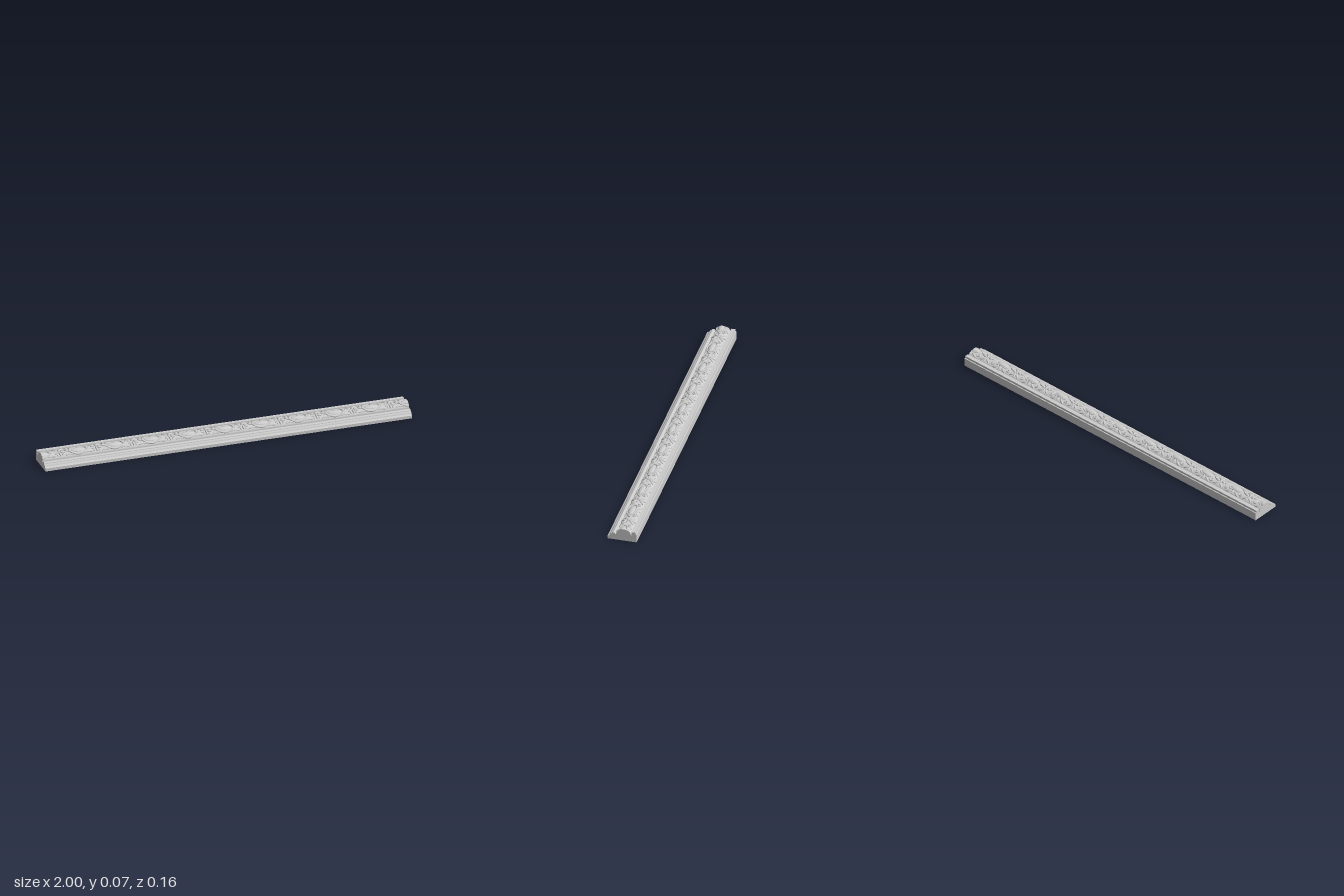
import * as THREE from 'three';
import { toCreasedNormals } from 'three/addons/utils/BufferGeometryUtils.js';
import { ParametricGeometry } from 'three/addons/geometries/ParametricGeometry.js';

const HALF = 1, PITCH = 0.2;
// Rounded bed that carries the ornament: half an ellipse in z and y
const BED = { z: -0.008, y: 0.035, a: 0.04, b: 0.028 };
const stone = new THREE.MeshStandardMaterial({ color: 0xcccccc, side: THREE.DoubleSide });

// Point lifted by h from the bed at plan position x, z; cut flat at the ends
function onBed(x, z, h, target) {
  const s = THREE.MathUtils.clamp((z - BED.z) / BED.a, -0.97, 0.97);
  const c = Math.sqrt(1 - s * s);
  const ny = c / BED.b, nz = s / BED.a, len = Math.hypot(ny, nz);
  return target.set(
    THREE.MathUtils.clamp(x, -HALF, HALF),
    BED.y + BED.b * c + h * ny / len,
    BED.z + BED.a * s + h * nz / len);
}

// Raised surface described by plan position and lift
function relief(name, rule, across, along) {
  const geo = new ParametricGeometry((u, v, t) => onBed(...rule(u, v), t), across, along);
  geo.computeVertexNormals();
  const mesh = new THREE.Mesh(geo, stone);
  mesh.name = name;
  return mesh;
}

// Oval boss
function boss(name, x, z, rx, rz, lift, n = 14) {
  return relief(name, (u, v) => {
    const a = u * Math.PI * 2, r = Math.sin(v * Math.PI / 2);
    return [x + rx * r * Math.cos(a), z + rz * r * Math.sin(a),
      lift * Math.cos(v * Math.PI / 2) - 0.001];
  }, n, 6);
}

// Tapered ridge along a plan curve; width is given by a function of its length
function ridge(name, x, points, width, lift, n = 12) {
  const curve = new THREE.CatmullRomCurve3(points.map(([px, pz]) => new THREE.Vector3(px, 0, pz)));
  return relief(name, (u, v) => {
    const p = curve.getPoint(v), d = curve.getTangent(v), s = u * 2 - 1, w = width(v);
    return [x + p.x - d.z * s * w, p.z + d.x * s * w, lift * Math.sqrt(1 - s * s) - 0.001];
  }, 6, n);
}

const leafWidth = (w) => (v) => w * Math.pow(Math.sin(Math.PI * (0.08 + 0.92 * v)), 0.7) + 0.0003;
const stemWidth = (w) => (v) => w * (1 - 0.35 * v);

// Egg in a cup, with scrolls and a fan of leaves behind it
function eggMotif(x) {
  const g = new THREE.Group();
  g.name = 'eggMotif';
  g.add(boss('egg', x, 0.001, 0.036, 0.017, 0.007, 24));
  const cup = [];
  for (let i = 0; i <= 12; i++) {
    const a = -0.35 + (Math.PI + 0.7) * i / 12;
    cup.push([0.047 * Math.cos(a), 0.001 + 0.025 * Math.sin(a)]);
  }
  g.add(ridge('cupRim', x, cup, () => 0.0035, 0.005, 36));
  for (const m of [-1, 1]) {
    // Scroll curling out of the cup lip
    g.add(ridge('scroll', x, [[0.044, -0.008], [0.04, -0.022], [0.05, -0.031],
      [0.059, -0.026], [0.056, -0.019], [0.05, -0.022]].map(([a, b]) => [a * m, b]),
      stemWidth(0.0035), 0.006, 18));
    // Side leaves in front and behind
    g.add(ridge('frontLeaf', x, [[0.03, 0.024], [0.052, 0.021], [0.075, 0.026]]
      .map(([a, b]) => [a * m, b]), leafWidth(0.005), 0.004));
    g.add(ridge('sideLeaf', x, [[0.05, 0.008], [0.06, 0], [0.072, -0.008]]
      .map(([a, b]) => [a * m, b]), leafWidth(0.006), 0.006));
    g.add(ridge('backLeaf', x, [[0.012, -0.021], [0.024, -0.032], [0.043, -0.041]]
      .map(([a, b]) => [a * m, b]), leafWidth(0.006), 0.005));
    g.add(ridge('lipLeaf', x, [[0.004, -0.019], [0.02, -0.02], [0.038, -0.013]]
      .map(([a, b]) => [a * m, b]), leafWidth(0.004), 0.006));
  }
  g.add(ridge('middleLeaf', x, [[0, -0.018], [0, -0.03], [0, -0.043]], leafWidth(0.008), 0.005));
  return g;
}

// Cross-shaped flower between two eggs
function flowerMotif(x) {
  const g = new THREE.Group();
  g.name = 'flowerMotif';
  g.add(boss('flowerCentre', x, -0.008, 0.007, 0.006, 0.009));
  g.add(ridge('frontPetal', x, [[0, -0.003], [0, 0.01], [0, 0.027]], leafWidth(0.006), 0.006));
  g.add(ridge('backPetal', x, [[0, -0.013], [0, -0.028], [0, -0.043]], leafWidth(0.006), 0.006));
  for (const m of [-1, 1]) {
    g.add(boss('sidePetal', x + m * 0.018, -0.008, 0.011, 0.006, 0.0075));
    g.add(ridge('frontFrond', x, [[0.004, 0], [0.014, 0.009], [0.027, 0.013]]
      .map(([a, b]) => [a * m, b]), leafWidth(0.005), 0.006));
    g.add(ridge('backFrond', x, [[0.004, -0.016], [0.014, -0.026], [0.03, -0.037]]
      .map(([a, b]) => [a * m, b]), leafWidth(0.006), 0.006));
    g.add(boss('bud', x + m * 0.014, 0.021, 0.005, 0.005, 0.005, 10));
  }
  return g;
}

// Straight moulding: steps and bead in front, rounded bed, rail behind
function moulding() {
  const outline = [[0.078, 0], [0.078, 0.016], [0.07, 0.019], [0.066, 0.022],
    [0.0645, 0.027], [0.061, 0.031], [0.056, 0.032], [0.055, 0.036], [0.052, 0.039],
    [0.047, 0.041], [0.042, 0.04], [0.038, 0.037], [0.036, 0.033], [0.032, 0.033]];
  for (let i = 0; i <= 20; i++) {
    const a = Math.PI * i / 20;
    outline.push([BED.z + BED.a * Math.cos(a), BED.y + BED.b * Math.sin(a)]);
  }
  outline.push([-0.05, 0.04], [-0.051, 0.058], [-0.072, 0.058], [-0.073, 0.047],
    [-0.078, 0.046], [-0.078, 0]);
  const shape = new THREE.Shape(outline.map(([z, y]) => new THREE.Vector2(-z, y)));
  const geo = new THREE.ExtrudeGeometry(shape, { depth: 2 * HALF, bevelEnabled: false });
  geo.rotateY(Math.PI / 2).translate(-HALF, 0, 0);
  const mesh = new THREE.Mesh(toCreasedNormals(geo, 0.5), stone);
  mesh.name = 'moulding';
  return mesh;
}

export function createModel() {
  const model = new THREE.Group();
  model.name = 'carvedMoulding';
  model.add(moulding());
  for (let i = -5; i <= 5; i++) {
    model.add(eggMotif(i * PITCH));
    if (i < 5) model.add(flowerMotif((i + 0.5) * PITCH));
  }
  return model;
}
